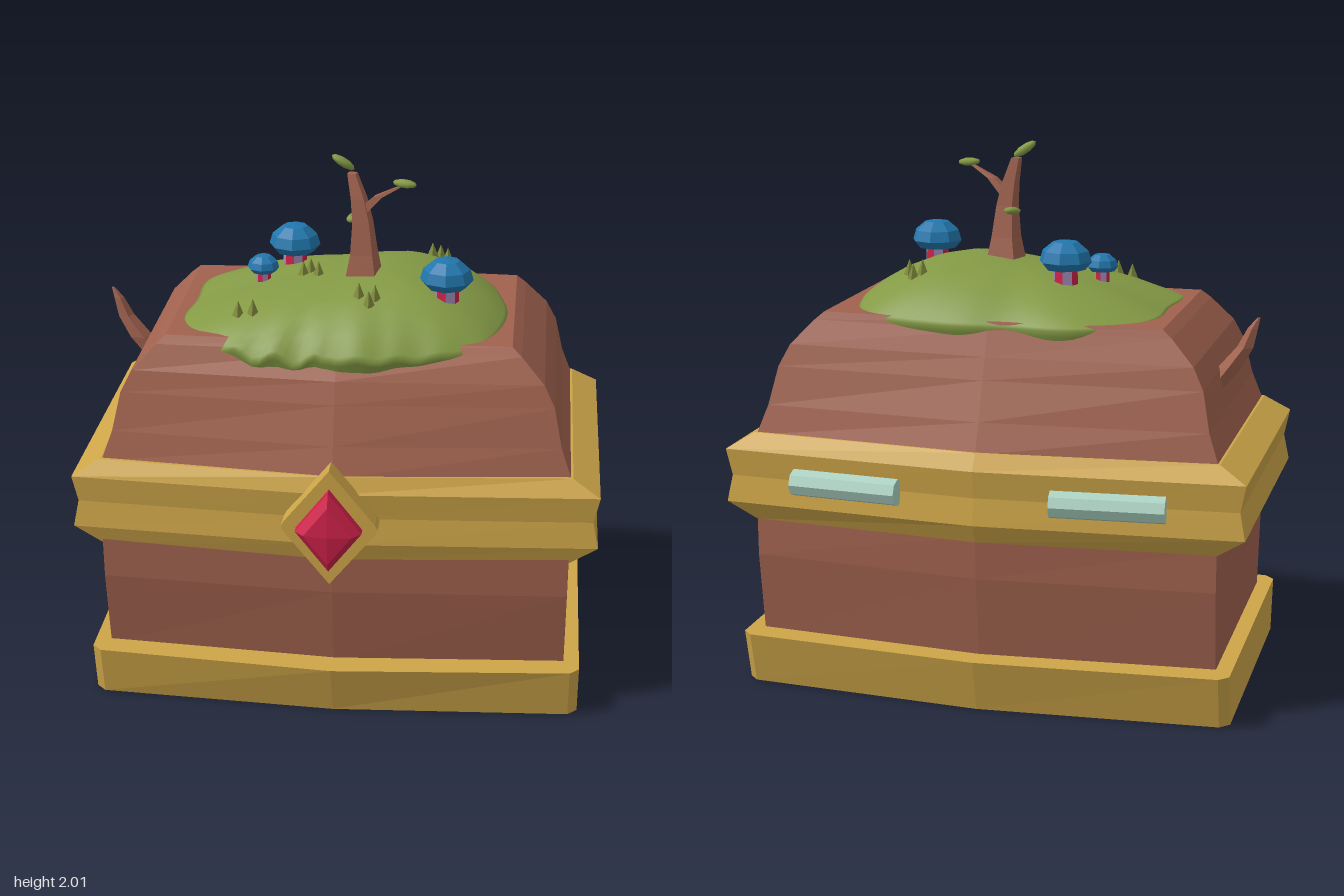
import * as THREE from 'three';
import { mergeVertices } from 'three/addons/utils/BufferGeometryUtils.js';

const mat = (name, color) => Object.assign(new THREE.MeshStandardMaterial({ color }), { name });

// Skin a stack of rings (ordered bottom to top) and close both ends
function loft(rings, smooth = false) {
  const n = rings[0].length, idx = [];
  const pos = rings.flat(2);
  for (let r = 0; r < rings.length - 1; r++) {
    for (let i = 0; i < n; i++) {
      const a = r * n + i, b = r * n + (i + 1) % n;
      idx.push(a, b, b + n, a, b + n, a + n);
    }
  }
  const top = (rings.length - 1) * n;
  for (let i = 1; i < n - 1; i++) idx.push(0, i + 1, i, top, top + i, top + i + 1);
  const g = new THREE.BufferGeometry();
  g.setAttribute('position', new THREE.Float32BufferAttribute(pos, 3));
  g.setIndex(idx);
  return smooth ? finish(mergeVertices(g)) : flat(g);
}
function finish(g) { g.computeVertexNormals(); return g; }
function flat(g) { return finish(g.index ? g.toNonIndexed() : g); }

// Chest cross-section: bowed front and back, corners cut by c
function section(y, hx, frontCorner, frontMid, backCorner, backMid, c = 0.001) {
  const right = [[hx - c, y, frontCorner], [hx, y, frontCorner - c], [hx, y, backCorner + c], [hx - c, y, backCorner]];
  const left = right.map(([x, h, z]) => [-x, h, z]).reverse();
  return [[0, y, frontMid], ...right, [0, y, backMid], ...left];
}

// Tapered limb through points [x, y, z, radius]
function limb(points, sides = 4) {
  return loft(points.map(([x, y, z, r]) => Array.from({ length: sides }, (_, i) => {
    const a = (i + 0.4) / sides * Math.PI * 2;
    return [x + Math.sin(a) * r, y, z + Math.cos(a) * r];
  })));
}

// Moss outline, centre and height
const MOSS_Z = -0.04;
const mossT = (x, z) => (Math.abs(x / 0.59) ** 3.5 + Math.abs((z - MOSS_Z) / 0.455) ** 3.5) ** (1 / 3.5);
function mossHeight(x, z) {
  const t = Math.min(mossT(x, z), 1.05);
  const front = Math.max(0, (z - MOSS_Z) / 0.455) ** 4;
  const back = Math.max(0, (MOSS_Z - z) / 0.455) ** 4;
  const drip = 0.022 * (1 + Math.cos(42 * (x + 0.3))) * (x < -0.05 ? 1 : 0.35) * front;
  const edge = 1.41 - 0.035 * front - 0.02 * back - drip;
  const peak = Math.min(1.585, 1.56 + 0.12 * x);
  return edge + (peak - edge) * (1 - t ** 3);
}

export function createModel() {
  const wood = mat('wood', 0xa0624e), gold = mat('gold', 0xcda548), moss = mat('moss', 0x849a45);
  const blue = mat('mushroomBlue', 0x2177ad), red = mat('gemRed', 0xcc2148);
  const steel = mat('paleMetal', 0xacd2c3), lilac = mat('stemLilac', 0xa08bb5), olive = mat('tuftOlive', 0x7f8a3c);
  const model = new THREE.Group();
  const add = (name, geo, material, x = 0, y = 0, z = 0, parent = model) => {
    const m = new THREE.Mesh(geo, material);
    m.name = name;
    m.position.set(x, y, z);
    parent.add(m);
    return m;
  };

  // Chest
  add('base', loft([
    section(0, 0.92, 0.5, 0.55, -0.59, -0.65, 0.035),
    section(0.2, 0.92, 0.54, 0.61, -0.64, -0.705, 0.035),
  ]), gold);
  add('body', loft([
    section(0.18, 0.862, 0.445, 0.505, -0.54, -0.61),
    section(0.5, 0.862, 0.5, 0.55, -0.585, -0.65),
    section(0.66, 0.862, 0.505, 0.555, -0.585, -0.655),
  ]), wood);
  add('rimBand', loft([
    section(0.64, 0.865, 0.5, 0.555, -0.585, -0.655),
    section(0.71, 0.965, 0.515, 0.578, -0.62, -0.688),
    section(0.81, 0.945, 0.505, 0.565, -0.61, -0.675),
    section(0.91, 0.965, 0.515, 0.578, -0.62, -0.688),
    section(0.97, 0.865, 0.48, 0.553, -0.58, -0.652),
  ]), gold);
  add('lid', loft([
    section(0.96, 0.86, 0.47, 0.55, -0.575, -0.648),
    section(1.07, 0.82, 0.445, 0.51, -0.55, -0.605),
    section(1.21, 0.79, 0.41, 0.46, -0.515, -0.55),
    section(1.29, 0.75, 0.39, 0.43, -0.495, -0.52),
    section(1.38, 0.665, 0.35, 0.365, -0.46, -0.485),
    section(1.41, 0.63, 0.33, 0.34, -0.45, -0.475),
  ]), wood);

  // Clasp plate and cut gem
  const diamond = new THREE.Shape([[0, -0.225], [0.165, -0.02], [0.175, 0], [0.165, 0.02],
    [0, 0.225], [-0.165, 0.02], [-0.175, 0], [-0.165, -0.02]].map(p => new THREE.Vector2(...p)));
  add('claspPlate', new THREE.ExtrudeGeometry(diamond, { depth: 0.085, bevelEnabled: false }), gold, 0, 0.81, 0.56);
  const gem = new THREE.Group();
  gem.name = 'gem';
  gem.position.set(0, 0.81, 0.64);
  gem.scale.set(0.12, 0.155, 1);
  model.add(gem);
  const slab = (name, r0, r1, z0, z1) => {
    const g = new THREE.CylinderGeometry(r1, r0, z1 - z0, 4).rotateX(Math.PI / 2);
    add(name, flat(g), red, 0, 0, (z0 + z1) / 2, gem);
  };
  slab('gemGirdle', 1, 1, 0, 0.04);
  slab('gemCrown', 1, 0.72, 0.04, 0.075);
  slab('gemTable', 0.72, 0, 0.075, 0.085);

  // Hinges on the back
  for (const s of [1, -1]) {
    const h = add('hinge', flat(new THREE.CylinderGeometry(0.05, 0.05, 0.41, 8).rotateZ(Math.PI / 2)), steel, s * 0.485, 0.81, -0.66);
    h.rotation.y = -s * 0.075;
  }

  // Moss cap
  const N = 112;
  const mossRing = (t, drop = 0) => Array.from({ length: N }, (_, i) => {
    const a = i / N * Math.PI * 2, s = Math.sin(a), c = Math.cos(a);
    const r = t / mossT(s, c + MOSS_Z);
    const wob = 1 + 0.015 * Math.sin(5 * a + 1) + 0.012 * Math.sin(9 * a);
    const x = s * r, z = MOSS_Z + c * r;
    return [x * wob, mossHeight(x, z) - drop, MOSS_Z + c * r * wob];
  });
  add('mossCap', loft([mossRing(0.9, 0.2), mossRing(0.985, 0.03), mossRing(1),
    ...[0.98, 0.94, 0.87, 0.75, 0.6, 0.4, 0.2, 0.03].map(t => mossRing(t))], true), moss);

  // Sapling, its twig and the dead branch on the lid's side
  add('trunk', limb([[0.065, 1.53, 0.01, 0.085], [0.065, 1.64, 0.01, 0.06], [0.06, 1.76, 0.01, 0.045],
    [0.045, 1.85, 0.005, 0.035], [0.02, 1.94, -0.005, 0.022]]), wood);
  add('twig', limb([[0.06, 1.8, 0.005, 0.03], [0.12, 1.86, 0.015, 0.022], [0.21, 1.91, 0.03, 0.008]]), wood);
  add('sideBranch', limb([[-0.75, 1.12, -0.15, 0.04], [-0.825, 1.22, -0.15, 0.045],
    [-0.88, 1.3, -0.155, 0.032], [-0.905, 1.37, -0.155, 0.02], [-0.925, 1.41, -0.155, 0.006]], 5), wood);
  for (const [x, y, z, ry, rz, size] of [[-0.015, 1.975, -0.02, 0.2, -0.6, 0.05],
    [0.215, 1.915, 0.03, -0.2, -0.08, 0.045], [0.02, 1.75, -0.07, 1.2, 0.1, 0.042]]) {
    const leaf = add('leaf', new THREE.SphereGeometry(1, 8, 5).rotateZ(Math.PI / 2), moss, x, y, z);
    leaf.scale.set(size, size * 0.35, size * 0.6);
    leaf.rotation.set(0, ry, rz);
  }

  // Mushrooms with striped stems
  const capProfile = [[0, 0.12], [0.75, 0], [1, 0.3], [0.88, 0.7], [0.48, 1.03], [0, 1.1]];
  for (const [x, y, z, r] of [[-0.22, 1.565, -0.21, 0.098], [0.38, 1.565, 0.145, 0.098], [-0.32, 1.535, -0.045, 0.06]]) {
    const g = new THREE.LatheGeometry(capProfile.map(([u, v]) => new THREE.Vector2(u * r, v * r)), 8);
    add('mushroomCap', flat(g), blue, x, y, z);
    const stem = flat(new THREE.CylinderGeometry(r * 0.45, r * 0.5, 0.12, 8, 1, true));
    stem.clearGroups();
    for (let i = 0; i < 8; i++) stem.addGroup(i * 6, 6, i % 2);
    add('mushroomStem', stem, [lilac, red], x, y - 0.045, z);
  }

  // Grass tufts
  for (const [x, z] of [[0.305, -0.28], [0.335, -0.3], [0.365, -0.25], [-0.165, -0.02], [-0.105, 0.005], [-0.14, -0.045],
    [-0.375, 0.24], [-0.32, 0.245], [0.065, 0.21], [0.105, 0.255], [0.125, 0.225]]) {
    add('grassTuft', flat(new THREE.ConeGeometry(0.023, 0.06, 4)), olive, x, mossHeight(x, z) + 0.022, z);
  }
  return model;
}
